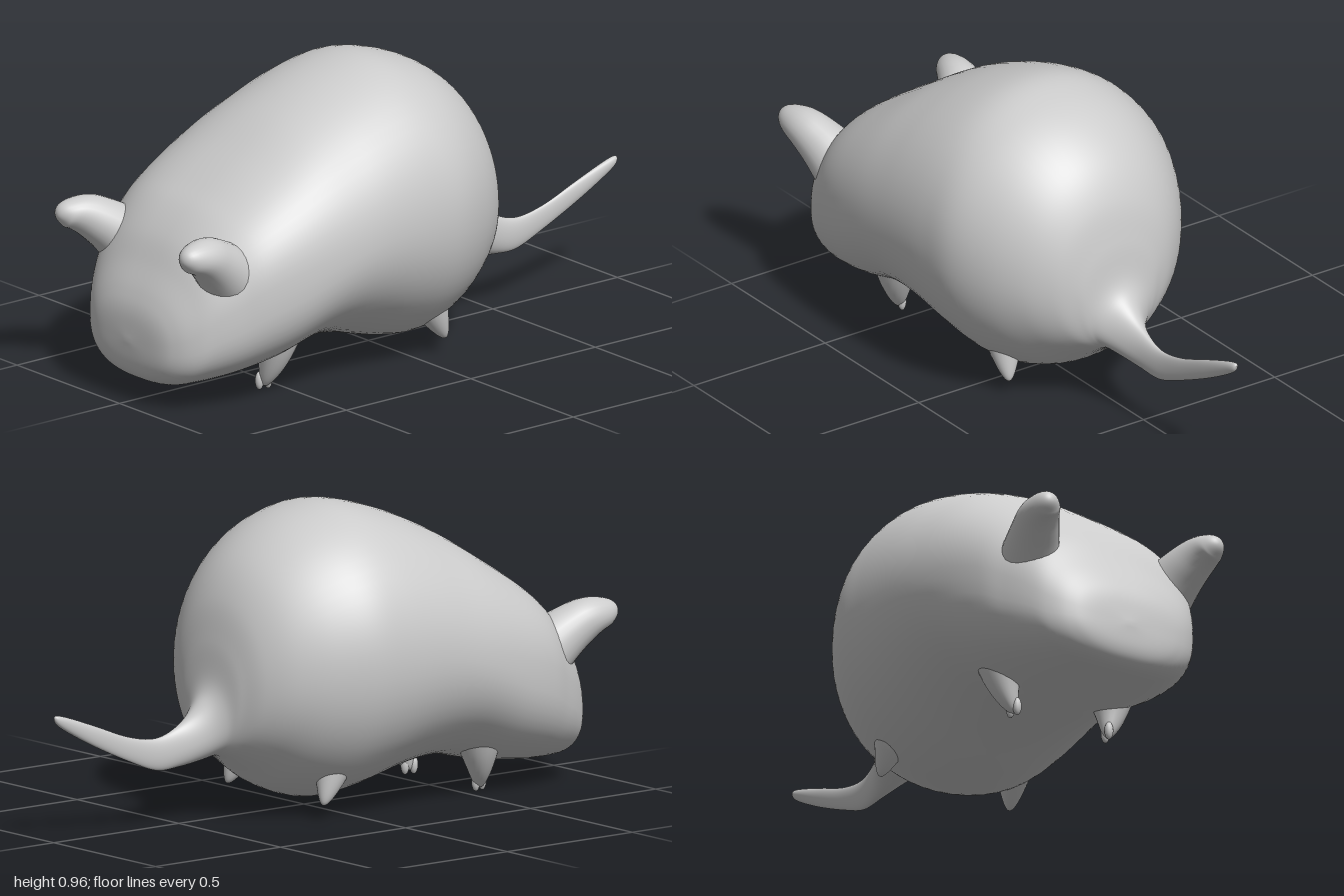
import * as THREE from 'three';
import { mergeVertices } from 'three/addons/utils/BufferGeometryUtils.js';

const material = new THREE.MeshStandardMaterial({ color: 0xcccccc, roughness: 0.8 });

function part(name, geometry) {
  const mesh = new THREE.Mesh(geometry, material);
  mesh.name = name;
  return mesh;
}

// Weld coincident points so the shading stays smooth over seams and poles
function smooth(geometry) {
  geometry.deleteAttribute('uv');
  geometry.deleteAttribute('normal');
  const welded = mergeVertices(geometry, 1e-5);
  welded.computeVertexNormals();
  return welded;
}

// Skin oval sections running front to back: [z, top, bottom, half width, height of widest point]
function loft(stations, rings, sides) {
  const heights = new THREE.CatmullRomCurve3(
    stations.map(([z, top, bottom]) => new THREE.Vector3(top, bottom, z)), false, 'catmullrom', 0.5);
  const widths = new THREE.CatmullRomCurve3(
    stations.map(([z, , , w, c]) => new THREE.Vector3(w, c, z)), false, 'catmullrom', 0.5);
  const positions = [];
  const index = [];
  for (let i = 0; i <= rings; i++) {
    const h = heights.getPoint(i / rings);
    const w = widths.getPoint(i / rings);
    // sections grow squarer towards the head
    const power = 2 / (2.05 + 0.45 * THREE.MathUtils.smoothstep(h.z, 0.3, 0.75));
    for (let j = 0; j < sides; j++) {
      const a = (j / sides) * Math.PI * 2;
      const c = Math.sign(Math.cos(a)) * Math.abs(Math.cos(a)) ** power;
      const s = Math.sign(Math.sin(a)) * Math.abs(Math.sin(a)) ** power;
      const reach = s > 0 ? h.x - w.y : w.y - h.y;
      positions.push(Math.max(w.x, 0) * c, w.y + reach * s, h.z);
      if (i < rings) {
        const p = i * sides + j;
        const q = i * sides + ((j + 1) % sides);
        index.push(p, p + sides, q, q, p + sides, q + sides);
      }
    }
  }
  const geometry = new THREE.BufferGeometry();
  geometry.setAttribute('position', new THREE.Float32BufferAttribute(positions, 3));
  geometry.setIndex(index);
  return smooth(geometry);
}

// Round-ended tube along a path, flaring at the base; mirrored by side = -1
function limb(points, baseRadius, tipRadius, flare, side) {
  const path = new THREE.CatmullRomCurve3(
    points.map(([x, y, z]) => new THREE.Vector3(x * side, y, z)));
  const steps = 28;
  const sides = 24;
  const geometry = new THREE.TubeGeometry(path, steps, 1, sides);
  const pos = geometry.attributes.position;
  const v = new THREE.Vector3();
  for (let i = 0; i <= steps; i++) {
    // rings crowd towards the tip so that it closes smoothly
    const u = 1 - (1 - i / steps) ** 1.6;
    const centre = path.getPointAt(u);
    const radius = (tipRadius + (baseRadius - tipRadius) * (1 - u) ** flare)
      * Math.sqrt(Math.max(0, 1 - u ** 7));
    for (let j = 0; j <= sides; j++) {
      const k = i * (sides + 1) + j;
      v.fromBufferAttribute(geometry.attributes.normal, k).multiplyScalar(radius).add(centre);
      pos.setXYZ(k, v.x, v.y, v.z);
    }
  }
  return smooth(geometry);
}

export function createModel() {
  const model = new THREE.Group();
  model.name = 'animal';

  // Head, plump body and thin upright tail in one continuous skin
  model.add(part('bodyAndTail', loft([
    [0.97, 0.2, 0.2, 0, 0.2],
    [0.962, 0.29, 0.12, 0.14, 0.2],
    [0.94, 0.355, 0.08, 0.21, 0.21],
    [0.9, 0.43, 0.06, 0.265, 0.23],
    [0.85, 0.52, 0.057, 0.305, 0.27],
    [0.78, 0.6, 0.06, 0.345, 0.31],
    [0.7, 0.66, 0.068, 0.382, 0.36],
    [0.58, 0.74, 0.085, 0.412, 0.4],
    [0.42, 0.84, 0.115, 0.432, 0.45],
    [0.25, 0.915, 0.095, 0.44, 0.49],
    [0.08, 0.957, 0.05, 0.44, 0.5],
    [-0.05, 0.938, 0.035, 0.428, 0.5],
    [-0.17, 0.885, 0.075, 0.378, 0.48],
    [-0.27, 0.8, 0.145, 0.305, 0.46],
    [-0.335, 0.69, 0.187, 0.225, 0.44],
    [-0.368, 0.56, 0.2, 0.15, 0.4],
    [-0.388, 0.43, 0.2, 0.1, 0.32],
    [-0.43, 0.365, 0.19, 0.06, 0.27],
    [-0.5, 0.31, 0.18, 0.03, 0.24],
    [-0.59, 0.28, 0.178, 0.016, 0.23],
    [-0.7, 0.297, 0.22, 0.011, 0.26],
    [-0.83, 0.346, 0.28, 0.012, 0.314],
    [-0.93, 0.383, 0.333, 0.013, 0.36],
    [-0.985, 0.399, 0.368, 0.011, 0.385],
    [-1, 0.393, 0.393, 0, 0.393],
  ], 168, 64)));

  for (const [side, label] of [[1, 'left'], [-1, 'right']]) {
    // Stubby forward-pointing ears
    model.add(part(label + 'Ear', limb(
      [[0.235, 0.41, 0.74], [0.272, 0.495, 0.845], [0.297, 0.535, 0.92], [0.307, 0.538, 1]],
      0.105, 0.055, 1.3, side)));

    // Short front legs with two tiny toes
    model.add(part(label + 'FrontLeg', limb(
      [[0.2, 0.22, 0.53], [0.2, 0.12, 0.54], [0.172, 0.012, 0.562]],
      0.095, 0.026, 1.3, side)));
    for (const [x, z] of [[0.168, 0.576], [0.174, 0.546]]) {
      const toe = part(label + 'FrontToe', new THREE.SphereGeometry(1, 12, 8));
      toe.scale.set(0.014, 0.03, 0.014);
      toe.position.set(x * side, 0.03, z);
      model.add(toe);
    }

    // Back legs sweeping slightly backwards
    model.add(part(label + 'BackLeg', limb(
      [[0.2, 0.26, -0.03], [0.222, 0.15, -0.068], [0.237, 0.045, -0.115]],
      0.1, 0.025, 1.2, side)));
  }
  return model;
}
